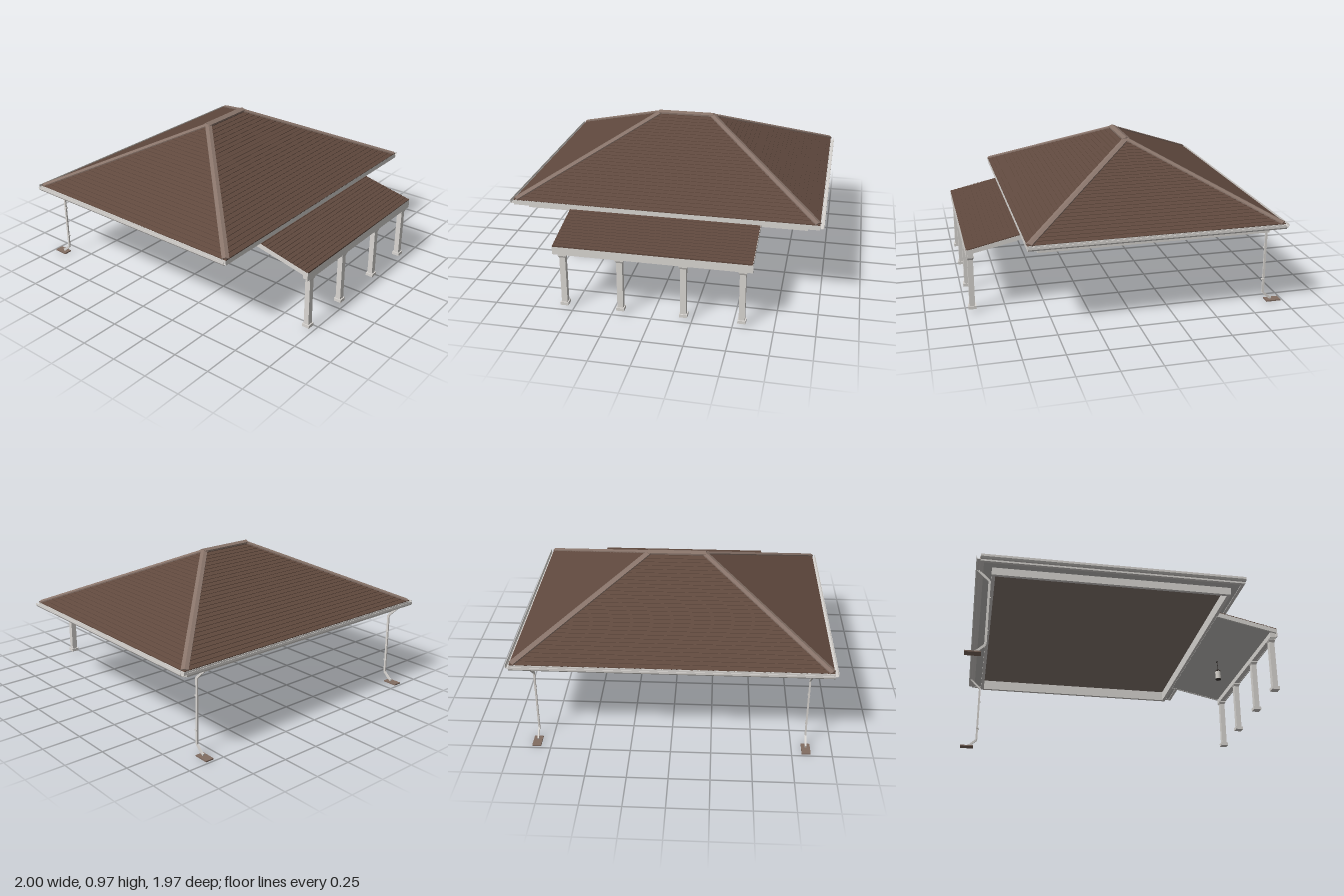
import * as THREE from 'three';

const mat = (name, color) => {
  const m = new THREE.MeshStandardMaterial({ color });
  m.name = name;
  return m;
};

export function createModel() {
  const shingle = mat('brown shingle', 0x60493e);
  const cap = mat('ridge cap taupe', 0x88746a);
  const trim = mat('pale trim', 0xdad7d3);
  const soffitGrey = mat('soffit grey', 0xc8c6c3);
  const ceilingMat = mat('ceiling taupe', 0x8a7c75);
  const splash = mat('splash block brown', 0x826d62);
  const metal = mat('dark metal', 0x35302d);
  const glass = mat('lantern glass', 0xdedad4);

  const root = new THREE.Group();
  root.name = 'hipRoofWithPorch';
  const group = (name, parent = root) => {
    const g = new THREE.Group();
    g.name = name;
    parent.add(g);
    return g;
  };
  const add = (name, geo, material, parent = root) => {
    const m = new THREE.Mesh(geo, material);
    m.name = name;
    parent.add(m);
    return m;
  };
  const box = (name, w, h, d, x, y, z, material, parent) => {
    const m = add(name, new THREE.BoxGeometry(w, h, d), material, parent);
    m.position.set(x, y, z);
    return m;
  };
  const polygon = pts => new THREE.Shape(pts.map(p => new THREE.Vector2(...p)));
  const extrude = (shape, depth) => new THREE.ExtrudeGeometry(shape, { depth, bevelEnabled: false });

  // Profile given as (z, y), extruded along x and centred
  const alongX = (pts, length) => extrude(polygon(pts), length).translate(0, 0, -length / 2).rotateY(-Math.PI / 2);

  // Extruded profile running from point a to point b
  const run = (name, pts, a, b, material, parent) => {
    const m = add(name, extrude(polygon(pts), a.distanceTo(b)), material, parent);
    m.position.copy(a);
    m.lookAt(b);
    return m;
  };
  const V = (x, y, z) => new THREE.Vector3(x, y, z);

  // Main roof dimensions
  const HX = 0.975, HZ = 0.797, ZC = -0.133, EAVE = 0.567, RIDGE = 0.956;
  const slope = (RIDGE - EAVE) / HZ;

  // Rectangular frame
  const rect = (hx, hz) => [[-hx, -hz], [hx, -hz], [hx, hz], [-hx, hz]];
  const frame = (name, hx, hz, width, y0, y1, material) => {
    const s = polygon(rect(hx, hz));
    s.holes.push(new THREE.Path(rect(hx - width, hz - width).map(p => new THREE.Vector2(...p))));
    const m = add(name, extrude(s, y1 - y0).rotateX(-Math.PI / 2), material);
    m.position.set(0, y0, ZC);
  };

  // Stepped shingle courses on four slopes
  const COURSES = 30, LIP = 0.003;
  const profile = [[0, EAVE - 0.003]];
  for (let i = 0; i < COURSES; i++) {
    const d0 = HZ * i / COURSES, d1 = HZ * (i + 1) / COURSES;
    profile.push([d0, EAVE + d0 * slope + LIP], [d1, EAVE + d1 * slope]);
  }
  const pos = [];
  const corners = ([d, y]) => [[1, 1], [1, -1], [-1, -1], [-1, 1]]
    .map(([sx, sz]) => [sx * (HX - d), y, ZC + sz * (HZ - d)]);
  for (let i = 0; i < profile.length - 1; i++) {
    const lo = corners(profile[i]), hi = corners(profile[i + 1]);
    for (let k = 0; k < 4; k++) {
      const n = (k + 1) % 4;
      pos.push(...lo[k], ...lo[n], ...hi[n], ...lo[k], ...hi[n], ...hi[k]);
    }
  }
  const roofGeo = new THREE.BufferGeometry();
  roofGeo.setAttribute('position', new THREE.Float32BufferAttribute(pos, 3));
  roofGeo.computeVertexNormals();
  add('mainRoof', roofGeo, shingle);

  // Hip and ridge caps
  const chevron = (w, drop) => [[-w, -drop], [0, 0], [w, -drop], [w, -drop - 0.012], [0, -0.012], [-w, -drop - 0.012]];
  const caps = group('roofCaps');
  const rx = HX - HZ;
  for (const sx of [-1, 1]) for (const sz of [-1, 1]) {
    run('hipCap', chevron(0.022, 0.007), V(sx * (HX - 0.008), EAVE + 0.013, ZC + sz * (HZ - 0.008)),
      V(sx * rx, RIDGE + 0.009, ZC), cap, caps);
  }
  run('ridgeCap', chevron(0.026, 0.01), V(-rx - 0.012, RIDGE + 0.011, ZC), V(rx + 0.012, RIDGE + 0.011, ZC), cap, caps);

  // Eaves, and a frieze standing below a recessed ceiling
  frame('fascia', HX, HZ, 0.02, 0.533, EAVE, trim);
  frame('soffit', HX - 0.01, HZ - 0.01, 0.08, 0.537, 0.543, soffitGrey);
  frame('frieze', 0.9, 0.728, 0.022, 0.49, 0.566, trim);
  box('ceiling', 1.77, 0.006, 1.43, 0, 0.562, ZC, ceilingMat);

  // Open gutters on both sides and the back
  const gutters = group('gutters');
  const channel = [[0, 0.024], [0, 0.003], [0.006, 0], [0.018, 0], [0.025, 0.01], [0.025, 0.024],
    [0.022, 0.024], [0.022, 0.011], [0.017, 0.003], [0.003, 0.003], [0.003, 0.024]];
  const flipped = channel.map(([x, y]) => [-x, y]);
  const zb = ZC - HZ, zf = ZC + HZ;
  run('leftGutter', channel, V(HX, 0.541, zb), V(HX, 0.541, zf), trim, gutters);
  run('rightGutter', flipped, V(-HX, 0.541, zb), V(-HX, 0.541, zf), trim, gutters);
  run('backGutter', flipped, V(HX, 0.541, zb), V(-HX, 0.541, zb), trim, gutters);

  // Porch roof: stepped shingles over a pale deck
  const porch = group('porch');
  const Z0 = 0.59, Z1 = 0.985, Y0 = 0.52, Y1 = 0.432, N = 14;
  const at = t => [Z0 + (Z1 - Z0) * t, Y0 + (Y1 - Y0) * t];
  const steps = [[Z0, Y0 - 0.006]];
  for (let i = 0; i < N; i++) {
    const [zEnd, yEnd] = at((i + 1) / N);
    steps.push(at(i / N), [zEnd, yEnd + 0.003]);
  }
  steps.push([Z1, Y1 - 0.006]);
  add('porchShingles', alongX(steps, 1.224), shingle, porch);
  add('porchDeck', alongX([[Z0, Y0 - 0.004], [Z1 - 0.004, Y1 - 0.004], [Z1 - 0.004, 0.403], [Z0, 0.488]], 1.22), soffitGrey, porch);
  for (const s of [-1, 1]) {
    const rake = add('porchRake', alongX([[Z0, Y0 - 0.004], [Z1, Y1 - 0.004], [Z1, 0.4], [Z0, 0.485]], 0.012), trim, porch);
    rake.position.x = s * 0.608;
  }
  box('porchFascia', 1.23, 0.058, 0.006, 0, 0.404, 0.982, trim, porch);
  box('porchBeam', 1.2, 0.035, 0.034, 0, 0.391, 0.959, trim, porch);

  // Square columns with plinth and flared capital
  for (const x of [-0.555, -0.197, 0.197, 0.555]) {
    const col = group('column', porch);
    col.position.set(x, 0, 0.959);
    box('columnShaft', 0.037, 0.33, 0.034, 0, 0.205, 0, trim, col);
    box('columnPlinth', 0.05, 0.02, 0.05, 0, 0.033, 0, trim, col);
    const flare = new THREE.CylinderGeometry(0.037, 0.026, 0.016, 4).rotateY(Math.PI / 4).scale(1, 1, 0.88).toNonIndexed();
    flare.computeVertexNormals();
    add('columnCapital', flare, trim, col).position.y = 0.359;
    box('columnAbacus', 0.055, 0.01, 0.046, 0, 0.371, 0, trim, col);
  }

  // Hanging lantern
  const lantern = group('lantern', porch);
  lantern.position.z = 0.768;
  const turned = (name, rt, rb, h, y, material, sides = 8) =>
    add(name, new THREE.CylinderGeometry(rt, rb, h, sides), material, lantern).position.setY(y);
  turned('lanternRod', 0.002, 0.002, 0.07, 0.425, metal);
  turned('lanternRose', 0.01, 0.01, 0.006, 0.452, metal, 12);
  turned('lanternCap', 0.006, 0.022, 0.02, 0.385, metal);
  turned('lanternGlass', 0.02, 0.019, 0.056, 0.347, glass);
  turned('lanternBase', 0.021, 0.018, 0.006, 0.317, metal);
  turned('lanternFinial', 0.006, 0.002, 0.008, 0.31, metal);

  // Downspouts with straps and splash blocks
  const pipe = [[-0.005, -0.007], [0.005, -0.007], [0.005, 0.007], [-0.005, 0.007]];
  for (const s of [-1, 1]) {
    const spout = group(s > 0 ? 'leftDownspout' : 'rightDownspout');
    const path = [[0.545, -0.942], [0.475, -0.869], [0.06, -0.869], [0.018, -0.915], [0.014, -0.928]]
      .map(([y, z]) => V(s * 0.84, y, z));
    for (let i = 0; i < path.length - 1; i++) run('pipe', pipe, path[i], path[i + 1], trim, spout);
    for (const y of [0.15, 0.365]) box('strap', 0.014, 0.008, 0.018, s * 0.84, y, -0.865, trim, spout);
    box('splashBlock', 0.055, 0.008, 0.095, s * 0.84, 0.004, -0.9375, splash, spout);
  }
  return root;
}
